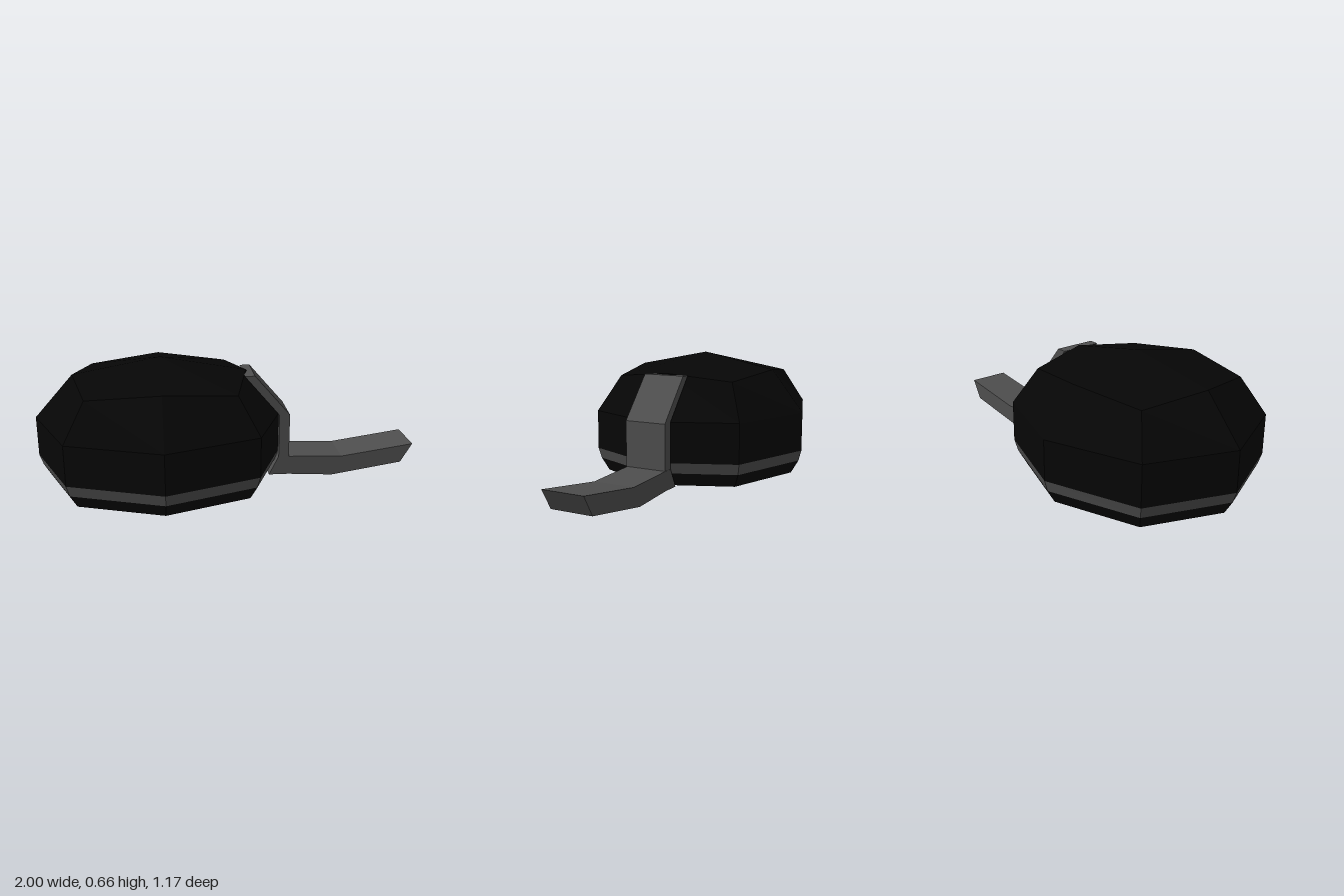
import * as THREE from 'three';

const SIDES = 8;
const CENTRE_X = -0.351;

// Octagonal rings from bottom to top; corners between the axes use
// their own height (yDiag) and radius factor (k).
const RINGS = [
  { y: 0.019, yDiag: 0.019, rx: 0.588, rz: 0.527, k: 0.725 },
  { y: 0.09, yDiag: 0.09, rx: 0.63, rz: 0.568, k: 0.725 },
  { y: 0.147, yDiag: 0.147, rx: 0.649, rz: 0.583, k: 0.725 },
  { y: 0.356, yDiag: 0.356, rx: 0.649, rz: 0.583, k: 0.725 },
  { y: 0.58, yDiag: 0.545, rx: 0.45, rz: 0.407, k: 0.82 },
  { y: 0.662, yDiag: 0.662, rx: 0, rz: 0, k: 1 },
];

// Hollow underneath, from its ceiling down to the rim so it faces inward
const HOLLOW = [
  { y: 0.22, yDiag: 0.22, rx: 0, rz: 0, k: 1 },
  { y: 0.22, yDiag: 0.22, rx: 0.385, rz: 0.345, k: 0.725 },
  { y: 0.095, yDiag: 0.095, rx: 0.45, rz: 0.405, k: 0.725 },
  RINGS[0],
];

function material(color) {
  return new THREE.MeshStandardMaterial({ color, flatShading: true });
}

function ringPoint(ring, i) {
  const c = [1, 1, 0, -1, -1, -1, 0, 1][i % SIDES];
  const s = [0, 1, 1, 1, 0, -1, -1, -1][i % SIDES];
  const diagonal = i % 2 === 1;
  const k = diagonal ? ring.k : 1;
  return [CENTRE_X + c * ring.rx * k, diagonal ? ring.yDiag : ring.y, s * ring.rz * k];
}

// Skin between consecutive rings; a ring of zero radius closes to a point
function shell(name, rings, mat) {
  const pos = [];
  for (let r = 0; r < rings.length - 1; r++) {
    for (let i = 0; i < SIDES; i++) {
      const a = ringPoint(rings[r], i), b = ringPoint(rings[r + 1], i);
      const c = ringPoint(rings[r + 1], i + 1), d = ringPoint(rings[r], i + 1);
      if (rings[r + 1].rx > 0) pos.push(...a, ...b, ...c);
      if (rings[r].rx > 0) pos.push(...a, ...c, ...d);
    }
  }
  const geo = new THREE.BufferGeometry();
  geo.setAttribute('position', new THREE.Float32BufferAttribute(pos, 3));
  geo.computeVertexNormals();
  const mesh = new THREE.Mesh(geo, mat);
  mesh.name = name;
  return mesh;
}

// Side profile extruded across z
function slab(name, profile, width, mat) {
  const shape = new THREE.Shape(profile.map(([x, y]) => new THREE.Vector2(x, y)));
  const geo = new THREE.ExtrudeGeometry(shape, { depth: width, bevelEnabled: false });
  geo.translate(0, 0, -width / 2);
  const mesh = new THREE.Mesh(geo, mat);
  mesh.name = name;
  return mesh;
}

export function createModel() {
  const group = new THREE.Group();
  group.name = 'cap';
  const dark = material(0x060606);
  const grey = material(0x4e4e4e);

  // Dome, rim and the band between them, with the hollow below
  group.add(shell('rim', RINGS.slice(0, 2), dark));
  group.add(shell('band', RINGS.slice(1, 3), grey));
  group.add(shell('dome', RINGS.slice(2), dark));
  group.add(shell('hollow', HOLLOW, dark));

  // Strap running down the dome
  group.add(slab('strap', [
    [0.08, 0.573], [0.265, 0.356], [0.265, 0.12],
    [0.32, 0.12], [0.32, 0.357], [0.132, 0.575],
  ], 0.225, grey));

  // Peak with an upturned tip
  const peak = slab('peak', [
    [0.215, 0.019], [0.32, 0.018], [0.56, 0.002], [0.94, 0.06],
    [1, 0.163], [0.61, 0.108], [0.32, 0.12], [0.265, 0.12],
  ], 0.222, grey);
  peak.position.z = -0.003;
  group.add(peak);

  return group;
}
